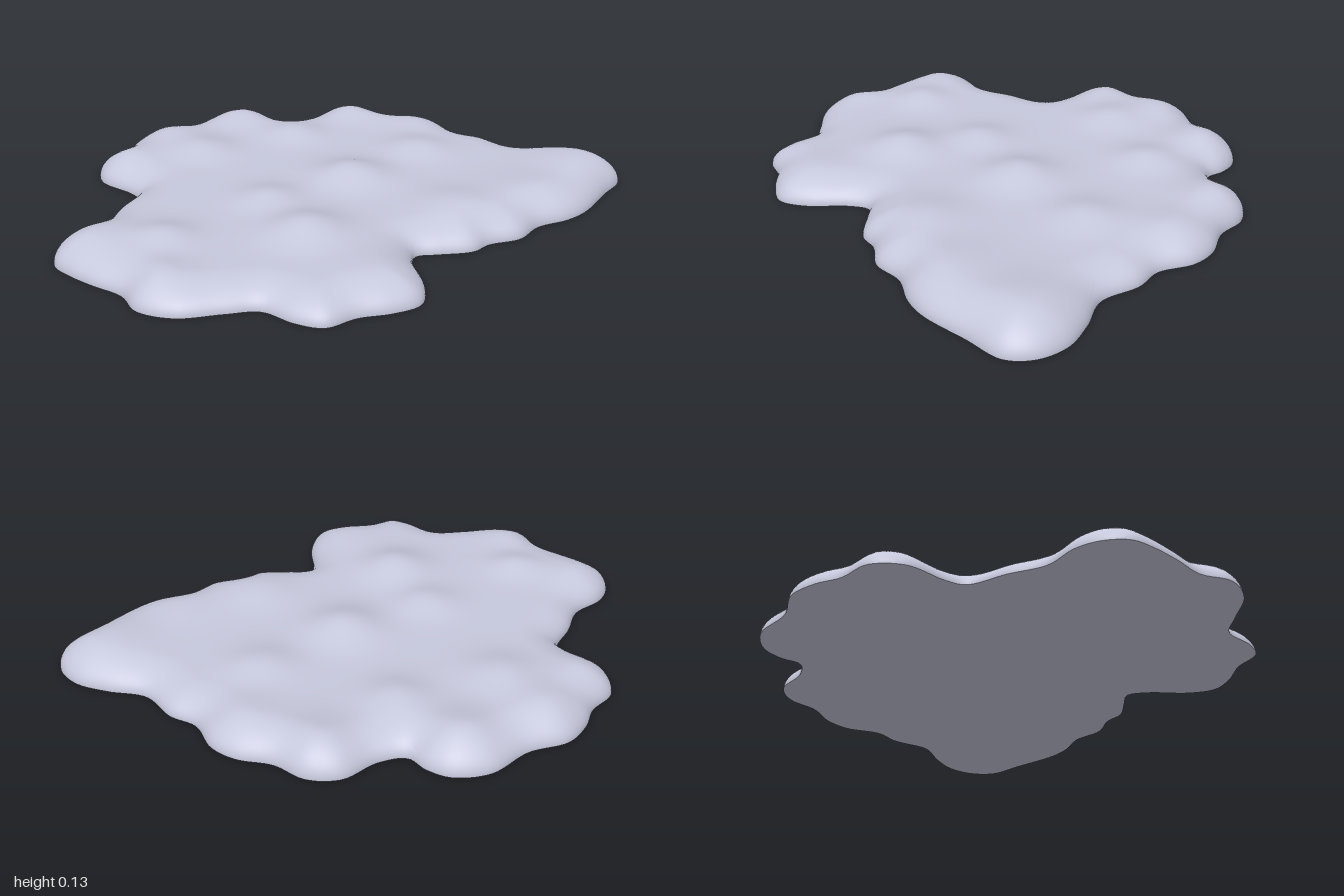
import * as THREE from 'three';

// Plan outline (x, z), starting at the back and running towards +x
const OUTLINE = [
  -0.14, -0.83, 0, -0.79, 0.17, -0.8, 0.28, -0.74, 0.32, -0.66, 0.33, -0.58, 0.42, -0.54,
  0.56, -0.54, 0.65, -0.47, 0.69, -0.35, 0.77, -0.25, 0.8, -0.15, 0.78, -0.02, 0.82, 0.08,
  0.83, 0.23, 0.92, 0.34, 0.985, 0.45, 0.99, 0.56, 0.94, 0.64, 0.8, 0.68, 0.62, 0.73,
  0.52, 0.73, 0.4, 0.7, 0.28, 0.72, 0.17, 0.68, 0.09, 0.68, -0.01, 0.62, -0.08, 0.58,
  -0.14, 0.63, -0.22, 0.76, -0.3, 0.82, -0.4, 0.8, -0.5, 0.75, -0.61, 0.73, -0.66, 0.65,
  -0.69, 0.53, -0.78, 0.47, -0.91, 0.39, -0.97, 0.28, -0.95, 0.17, -0.98, 0.05, -1, -0.06,
  -1, -0.14, -0.95, -0.21, -0.87, -0.25, -0.74, -0.26, -0.63, -0.33, -0.5, -0.4,
  -0.49, -0.47, -0.51, -0.62, -0.45, -0.72, -0.33, -0.75, -0.25, -0.8,
];

// Puffs on the upper surface: x, z, radius, height
const PUFFS = [
  [-0.32, 0.32, 0.13, 0.047], [0.1, 0.08, 0.13, 0.046], [-0.15, -0.48, 0.12, 0.03],
  [0.22, -0.38, 0.11, 0.03], [-0.7, 0.05, 0.1, 0.03], [-0.25, 0.04, 0.11, 0.03],
  [0.47, 0.05, 0.12, 0.03], [0.2, 0.5, 0.14, 0.025], [0.82, 0.52, 0.17, 0.03],
  [-0.86, 0.24, 0.1, 0.018], [-0.85, -0.12, 0.13, 0.02], [0.18, -0.66, 0.13, 0.033],
  [-0.14, -0.7, 0.12, 0.025], [-0.38, -0.62, 0.12, 0.02], [0.58, -0.42, 0.14, 0.03],
  [0.5, 0.58, 0.15, 0.02], [-0.35, 0.65, 0.14, 0.012], [0.67, -0.15, 0.12, 0.018],
];

const SEGMENTS = 320, RINGS = 56, CENTRE = [0, 0.05], EDGE = 0.15, BODY = 0.08;

function outlinePoints() {
  const pts = [];
  for (let i = 0; i < OUTLINE.length; i += 2) pts.push(new THREE.Vector3(OUTLINE[i], 0, OUTLINE[i + 1]));
  return new THREE.CatmullRomCurve3(pts, true, 'centripetal').getSpacedPoints(SEGMENTS).slice(0, SEGMENTS);
}

// Shortest distance from a point to the outline
function edgeDistance(x, z, rim) {
  let best = Infinity;
  for (let i = 0; i < rim.length; i++) {
    const a = rim[i], b = rim[(i + 1) % rim.length];
    const dx = b.x - a.x, dz = b.z - a.z;
    const t = THREE.MathUtils.clamp(((x - a.x) * dx + (z - a.z) * dz) / (dx * dx + dz * dz), 0, 1);
    best = Math.min(best, Math.hypot(x - a.x - t * dx, z - a.z - t * dz));
  }
  return best;
}

// Rounded shoulder at the edge, soft puffs over the body
function height(x, z, rim) {
  const d = Math.min(edgeDistance(x, z, rim) / EDGE, 1);
  let h = BODY;
  for (const [px, pz, r, a] of PUFFS) h += a * Math.exp(-((x - px) ** 2 + (z - pz) ** 2) / (r * r));
  return h * Math.sqrt(Math.max(0, 1 - (1 - d) ** 2));
}

// Concentric rings shrinking from the outline to the centre
function sheet(rim, rings, heightAt, up) {
  const [cx, cz] = CENTRE, pos = [cx, heightAt(cx, cz), cz], index = [];
  const tri = (a, b, c) => (up ? index.push(a, c, b) : index.push(a, b, c));
  for (let r = 1; r <= rings; r++) {
    const t = Math.sin((r / rings) * Math.PI / 2);
    for (let i = 0; i < SEGMENTS; i++) {
      const x = cx + (rim[i].x - cx) * t, z = cz + (rim[i].z - cz) * t;
      pos.push(x, r === rings ? 0 : heightAt(x, z), z);
      const j = (i + 1) % SEGMENTS, outer = 1 + (r - 1) * SEGMENTS, inner = outer - SEGMENTS;
      if (r === 1) tri(0, outer + i, outer + j);
      else {
        tri(inner + i, outer + i, outer + j);
        tri(inner + i, outer + j, inner + j);
      }
    }
  }
  const g = new THREE.BufferGeometry();
  g.setAttribute('position', new THREE.Float32BufferAttribute(pos, 3));
  g.setIndex(index);
  g.computeVertexNormals();
  return g;
}

export function createModel() {
  const group = new THREE.Group();
  group.name = 'cloudPatch';
  const material = new THREE.MeshStandardMaterial({ color: 0xc6c8dc });
  material.name = 'pale lavender grey';
  const rim = outlinePoints();

  const top = new THREE.Mesh(sheet(rim, RINGS, (x, z) => height(x, z, rim), true), material);
  top.name = 'puffyTop';
  const base = new THREE.Mesh(sheet(rim, 1, () => 0, false), material);
  base.name = 'flatBase';
  group.add(top, base);
  return group;
}
